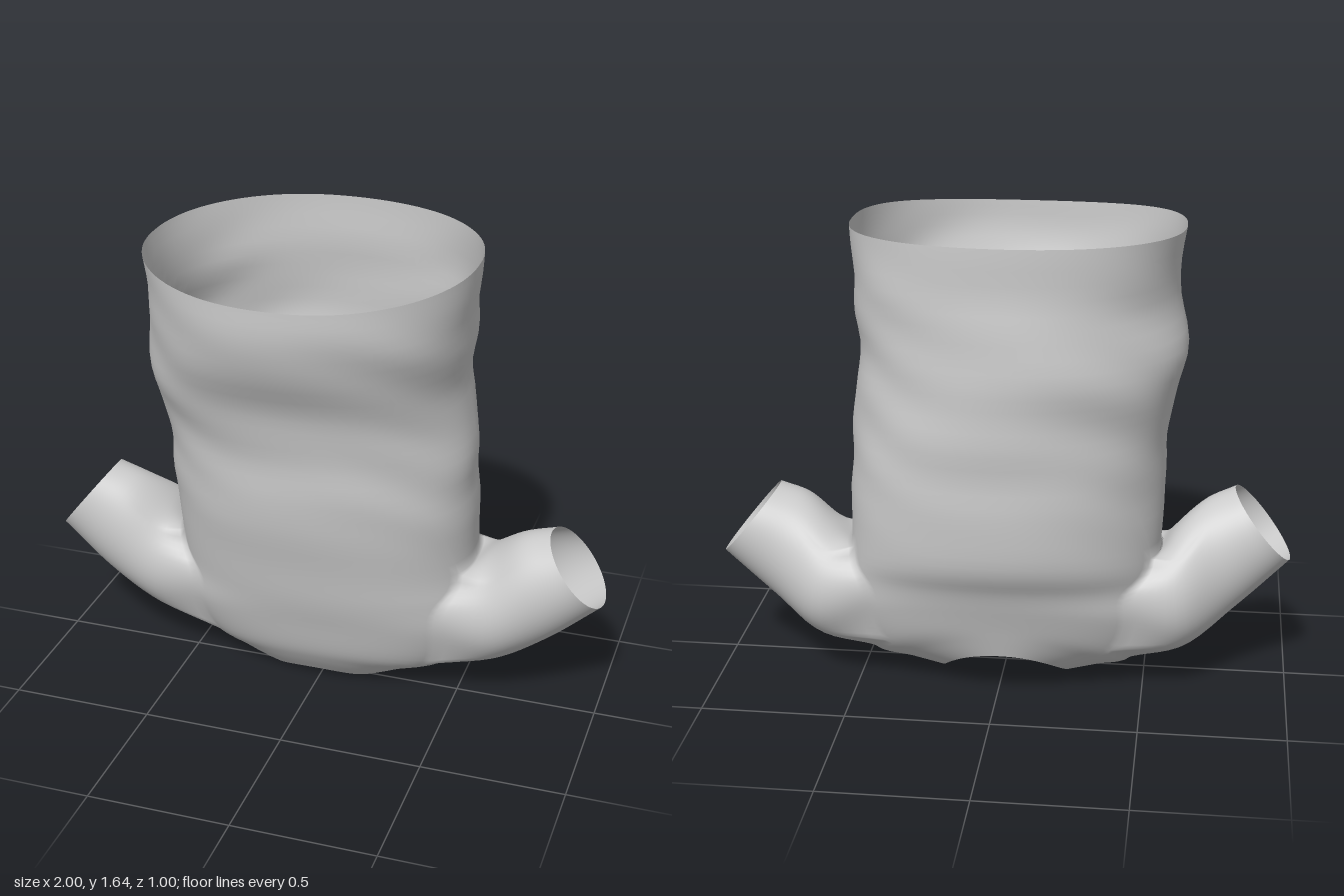
import * as THREE from 'three';

// Garment rings from hem (top) to neck (bottom): the reach to each side and the height at front, side, back
// [xLeft, xRight, zFront, zSide, zBack, yFront, ySide, yBack]
const RINGS = [
  [-0.605, 0.52, 0.50, 0.00, -0.48, 1.59, 1.63, 1.65],
  [-0.585, 0.51, 0.485, 0.00, -0.485, 1.42, 1.43, 1.43],
  [-0.62, 0.49, 0.39, -0.02, -0.50, 1.20, 1.20, 1.20],
  [-0.57, 0.51, 0.335, -0.04, -0.49, 1.00, 1.00, 1.00],
  [-0.56, 0.525, 0.32, -0.06, -0.485, 0.78, 0.78, 0.78],
  [-0.55, 0.53, 0.265, -0.08, -0.465, 0.53, 0.51, 0.56],
  [-0.55, 0.55, 0.235, -0.09, -0.41, 0.40, 0.39, 0.44],
  [-0.56, 0.55, 0.20, -0.09, -0.38, 0.29, 0.25, 0.36],
  [-0.46, 0.46, 0.16, -0.10, -0.355, 0.17, 0.095, 0.29],
  [-0.34, 0.32, 0.12, -0.10, -0.335, 0.10, 0.06, 0.23],
  [-0.24, 0.21, 0.07, -0.10, -0.315, 0.035, 0.035, 0.17],
];
const COLS = 96, SUB = 5, ROWS = (RINGS.length - 1) * SUB;
const HOLE_TOP = 5 * SUB, HOLE_BOTTOM = 8 * SUB, HOLE_HALF = 11;
const SLEEVE_STEPS = 16;

// Smooth interpolation through the ring table
function ringAt(f) {
  const i = Math.min(Math.floor(f), RINGS.length - 2), t = f - i;
  const row = (k) => RINGS[THREE.MathUtils.clamp(k, 0, RINGS.length - 1)];
  return RINGS[i].map((b, n) => {
    const a = row(i - 1)[n], c = row(i + 1)[n], d = row(i + 2)[n];
    return b + 0.5 * t * (c - a + t * (2 * a - 5 * b + 4 * c - d + t * (3 * (b - c) + d - a)));
  });
}

// Gentle cloth folds, fading out toward the shoulders and the hem
function folds(a, y) {
  const fade = THREE.MathUtils.smoothstep(y, 0.5, 0.9) * (1 - 0.7 * THREE.MathUtils.smoothstep(y, 1.4, 1.6));
  return fade * (0.007 * Math.sin(19 * y + 2 * Math.sin(2 * a + 1)) * Math.sin(1.5 * y + 2 * a)
    + 0.005 * Math.sin(5 * a + 8 * y) + 0.005 * Math.sin(29 * y - 3 * a + Math.sin(4 * a)));
}

// Column angle, drawn in toward the sides at the armhole ends so that the armhole is rounded
function columnAngle(r, j) {
  const quarter = COLS / 4, h = HOLE_HALF / quarter;
  const offset = ((j + quarter) % (COLS / 2)) - quarter;
  const u = Math.abs(offset) / quarter;
  const dip = (row, depth) => depth * Math.exp(-(((r - row) / 4) ** 2));
  const g = 1 - dip(HOLE_TOP, 0.5) - dip(HOLE_BOTTOM, 0.2);
  const warped = u < h ? u * g : g * h + (u - h) * (1 - g * h) / (1 - h);
  return ((j - offset + Math.sign(offset) * warped * quarter) / COLS) * Math.PI * 2;
}

function bodyPoint(r, j) {
  const [xl, xr, zf, zs, zb, yf, ys, yb] = ringAt(r / SUB);
  const a = columnAngle(r, j), c = Math.cos(a), s = Math.sin(a);
  const power = 2 / (s > 0 ? 2.2 : 2.1 + 0.25 * Math.max(0, c));
  const cx = Math.sign(c) * Math.abs(c) ** power, sz = Math.sign(s) * Math.abs(s) ** power;
  const neckDip = 0.12 * THREE.MathUtils.smoothstep(r, HOLE_BOTTOM, ROWS);
  const y = s > 0 ? ys + (yf - ys) * s * s - neckDip * s * (1 - s) : ys + (yb - ys) * Math.abs(s) ** 1.4;
  const k = 1 + folds(a, y);
  return [(xl + xr) / 2 + cx * k * (xr - xl) / 2, y, zs + sz * k * (s > 0 ? zf - zs : zs - zb)];
}

export function createModel() {
  const group = new THREE.Group();
  const positions = [];
  const bodyFaces = [], leftFaces = [], rightFaces = [];
  const id = (r, j) => r * COLS + ((j + COLS) % COLS);
  const quad = (list, a, b, c, d) => list.push(a, b, c, b, d, c);

  // Body: open tube from hem to neck with two armholes left out
  for (let r = 0; r <= ROWS; r++)
    for (let j = 0; j < COLS; j++) positions.push(...bodyPoint(r, j));
  const inHole = (r, j) => r >= HOLE_TOP && r < HOLE_BOTTOM && (j + HOLE_HALF) % (COLS / 2) < HOLE_HALF * 2;
  for (let r = 0; r < ROWS; r++)
    for (let j = 0; j < COLS; j++)
      if (!inHole(r, j)) quad(bodyFaces, id(r, j), id(r, j + 1), id(r + 1, j), id(r + 1, j + 1));

  // Sleeve: strands from the armhole edge through oval sections to the cuff
  // section: [x, y, z of the centre, x and y of the upper rim from it, half depth]
  function sleeve(faces, side, sections) {
    const jc = side > 0 ? 0 : COLS / 2, H = HOLE_HALF;
    const edge = [];
    for (let j = -H; j < H; j++) edge.push([HOLE_TOP, j]);
    for (let r = HOLE_TOP; r < HOLE_BOTTOM; r++) edge.push([r, H]);
    for (let j = H; j > -H; j--) edge.push([HOLE_BOTTOM, j]);
    for (let r = HOLE_BOTTOM; r > HOLE_TOP; r--) edge.push([r, -H]);
    const midRow = (HOLE_TOP + HOLE_BOTTOM) / 2, halfRows = (HOLE_BOTTOM - HOLE_TOP) / 2;

    const strands = edge.map(([r, j]) => {
      const a = Math.atan2((midRow - r) / halfRows, j / H), up = Math.sin(a), out = Math.cos(a);
      const path = sections.map(([x, y, z, rx, ry, depth]) =>
        new THREE.Vector3(side * (x + rx * up), y + ry * up, z + side * depth * out));
      const root = new THREE.Vector3().fromArray(positions, id(r, jc + j) * 3);
      return new THREE.CatmullRomCurve3([root, ...path]);
    });

    let previous = edge.map(([r, j]) => id(r, jc + j));
    for (let k = 1; k <= SLEEVE_STEPS; k++) {
      const current = strands.map((strand) => {
        positions.push(...strand.getPoint(k / SLEEVE_STEPS).toArray());
        return positions.length / 3 - 1;
      });
      current.forEach((_, m) => {
        const n = (m + 1) % current.length;
        quad(faces, previous[m], previous[n], current[m], current[n]);
      });
      previous = current;
    }
  }
  sleeve(leftFaces, 1, [
    [0.62, 0.355, -0.09, -0.02, 0.21, 0.215],
    [0.76, 0.455, -0.06, -0.06, 0.185, 0.175],
    [0.90, 0.55, -0.055, -0.10, 0.122, 0.155],
  ]);
  sleeve(rightFaces, -1, [
    [0.62, 0.365, -0.075, -0.02, 0.215, 0.205],
    [0.76, 0.475, -0.025, -0.06, 0.19, 0.16],
    [0.90, 0.585, -0.005, -0.10, 0.125, 0.14],
  ]);

  // Shared normals keep the seams smooth across the parts
  const whole = new THREE.BufferGeometry();
  whole.setAttribute('position', new THREE.Float32BufferAttribute(positions, 3));
  whole.setIndex([...bodyFaces, ...leftFaces, ...rightFaces]);
  whole.computeVertexNormals();

  const cloth = new THREE.MeshStandardMaterial({ color: 0xcccccc, side: THREE.DoubleSide });
  const parts = { shirtBody: bodyFaces, leftSleeve: leftFaces, rightSleeve: rightFaces };
  for (const [name, faces] of Object.entries(parts)) {
    const geometry = new THREE.BufferGeometry();
    geometry.setAttribute('position', whole.attributes.position);
    geometry.setAttribute('normal', whole.attributes.normal);
    geometry.setIndex(faces);
    const mesh = new THREE.Mesh(geometry, cloth);
    mesh.name = name;
    group.add(mesh);
  }
  return group;
}
